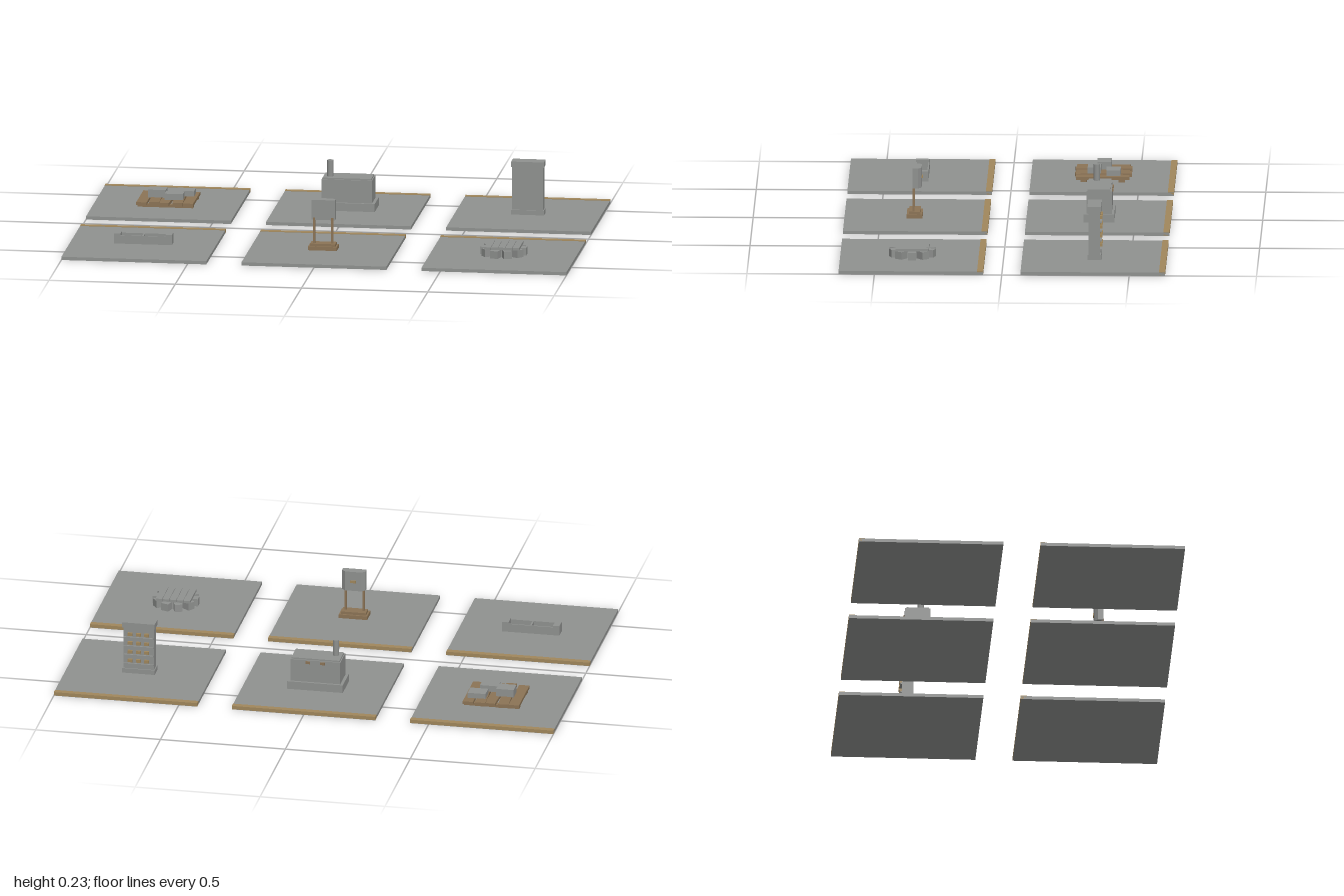
import * as THREE from 'three';

const mat = (name, hex) => {
  const m = new THREE.MeshStandardMaterial({ color: hex });
  m.name = name;
  return m;
};

export function createModel() {
  const grey = mat('stone grey', 0x8f918f);
  const wood = mat('wood brown', 0x8b7355);
  const trim = mat('light wood', 0xa0875c);
  const root = new THREE.Group();
  root.name = 'propSet';
  const GROUND = 0.013;

  // Box given by its centre in x and z, and its bottom and top heights
  const box = (parent, name, m, x, z, w, d, y0, y1, turn = 0) => {
    const mesh = new THREE.Mesh(new THREE.BoxGeometry(w, y1 - y0, d), m);
    mesh.name = name;
    mesh.position.set(x, (y0 + y1) / 2, z);
    mesh.rotation.y = turn;
    parent.add(mesh);
    return mesh;
  };

  // Ground tile with a wooden strip along its back edge
  const tile = (name, x, z) => {
    const g = new THREE.Group();
    g.name = name;
    g.position.set(x, 0, z);
    box(g, 'groundTile', grey, 0, 0, 0.574, 0.567, 0, GROUND);
    box(g, 'backStrip', trim, 0, -0.272, 0.574, 0.024, 0.001, 0.015);
    root.add(g);
    return g;
  };

  const X = 0.713, Z = 0.357;

  // Plank platform with stone slabs
  const planks = tile('plankPile', -X, -Z);
  for (const z of [-0.075, 0.075]) box(planks, 'crossRail', wood, 0, z, 0.22, 0.025, GROUND, 0.024);
  for (let i = 0; i < 5; i++) {
    const odd = i % 2;
    box(planks, 'plank', wood, -0.092 + i * 0.046, odd ? -0.002 : 0, 0.041, odd ? 0.222 : 0.21,
      0.023, odd ? 0.038 : 0.035, [0, 0.05, -0.04, 0.05, 0][i]);
  }
  box(planks, 'slab', grey, -0.042, -0.004, 0.07, 0.056, 0.037, 0.068);
  box(planks, 'slab', grey, 0.064, -0.042, 0.072, 0.056, 0.037, 0.058);
  box(planks, 'slab', grey, 0.03, 0.034, 0.072, 0.052, 0.037, 0.062);

  // Furnace block with plinth, raised rim and chimney pipe
  const furnace = tile('furnace', 0, -Z);
  box(furnace, 'plinth', grey, 0, -0.003, 0.224, 0.12, GROUND, 0.045);
  box(furnace, 'body', grey, 0, -0.003, 0.2, 0.1, 0.045, 0.136);
  box(furnace, 'lid', grey, 0, -0.003, 0.192, 0.09, 0.136, 0.142);
  const pipe = new THREE.Mesh(new THREE.CylinderGeometry(0.0125, 0.0125, 0.068, 10), grey);
  pipe.name = 'chimney';
  pipe.position.set(-0.07, 0.173, 0.01);
  furnace.add(pipe);
  for (const x of [-0.03, 0.03]) box(furnace, 'backLatch', wood, x, -0.055, 0.018, 0.006, 0.122, 0.132);

  // Tall cabinet with rows of goods on its back
  const cabinet = tile('cabinet', X, -Z);
  box(cabinet, 'foot', grey, 0, -0.001, 0.13, 0.054, GROUND, 0.032);
  box(cabinet, 'body', grey, 0, -0.001, 0.122, 0.044, 0.032, 0.205);
  box(cabinet, 'cap', grey, 0, -0.001, 0.13, 0.054, 0.205, 0.226);
  for (let r = 0; r < 4; r++) {
    const y = 0.055 + r * 0.037;
    box(cabinet, 'shelf', grey, 0, -0.026, 0.118, 0.008, y - 0.006, y);
    for (const x of [-0.033, 0, 0.033]) box(cabinet, 'drawerKnob', trim, x, -0.027, 0.018, 0.01, y + 0.006, y + 0.018);
  }

  // Low trough with two compartments
  const trough = tile('trough', -X, Z);
  box(trough, 'floor', grey, 0, -0.003, 0.22, 0.046, GROUND, 0.026);
  for (const s of [-1, 1]) {
    box(trough, 'endBlock', grey, s * 0.102, -0.003, 0.026, 0.054, GROUND, 0.053);
    box(trough, 'sideWall', grey, 0, -0.003 + s * 0.0245, 0.18, 0.005, GROUND, 0.046);
  }
  box(trough, 'divider', grey, 0, -0.003, 0.006, 0.046, 0.025, 0.046);

  // Sign board on two posts
  const sign = tile('signBoard', 0, Z);
  box(sign, 'base', wood, 0, 0.008, 0.114, 0.062, GROUND, 0.028);
  box(sign, 'baseStep', wood, 0, 0.008, 0.1, 0.046, 0.028, 0.038);
  for (const x of [-0.036, 0.036]) box(sign, 'post', wood, x, 0.013, 0.009, 0.009, 0.037, 0.14);
  // The board's rear corners are bevelled in plan
  const outline = new THREE.Shape([
    [-0.047, -0.016], [0.047, -0.016], [0.047, 0.006], [0.032, 0.019], [-0.032, 0.019], [-0.047, 0.006],
  ].map(([x, y]) => new THREE.Vector2(x, y)));
  const board = new THREE.Mesh(new THREE.ExtrudeGeometry(outline, { depth: 0.08, bevelEnabled: false }), grey);
  board.name = 'board';
  board.rotation.x = -Math.PI / 2;
  board.position.set(0, 0.131, 0);
  sign.add(board);
  box(sign, 'backHandle', trim, 0, -0.02, 0.022, 0.006, 0.165, 0.175);

  // Ring of stones under a slatted top
  const pit = tile('stoneRing', X, Z);
  for (let i = 0; i < 10; i++) {
    const a = (i * Math.PI) / 5;
    box(pit, 'ringStone', grey, Math.cos(a) * 0.073, Math.sin(a) * 0.073, 0.036, 0.032, GROUND, 0.043, -a);
  }
  for (let i = 0; i < 5; i++) box(pit, 'topSlat', grey, -0.056 + i * 0.028, 0, 0.0265, 0.13, 0.043, 0.053);

  return root;
}
